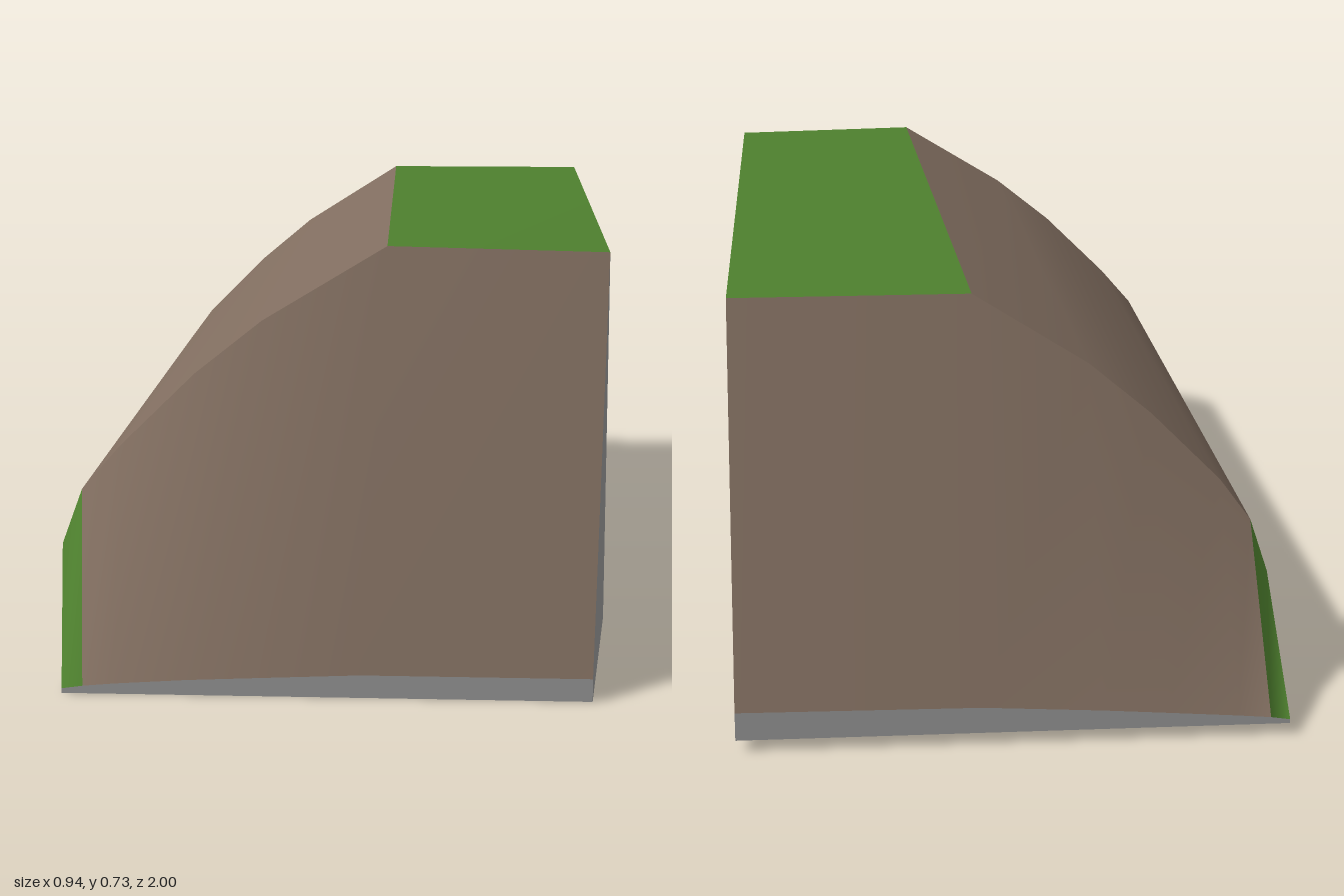
import * as THREE from 'three';

// Cross-sections run from lower left, over the top, to lower right
const section = (z, pts) => pts.map(([x, y]) => [x, y, z]);
const back = section(-1, [[-0.47, 0.02], [-0.47, 0.027], [-0.437, 0.032], [-0.38, 0.037],
  [-0.26, 0.046], [-0.15, 0.054], [0.055, 0.066], [0.47, 0.07], [0.47, 0.02]]);
const rear = section(-0.75, [[-0.473, 0.08], [-0.473, 0.2], [-0.44, 0.298], [-0.383, 0.375],
  [-0.258, 0.5], [-0.148, 0.592], [0.055, 0.72], [0.472, 0.72], [0.472, 0.08]]);
const fore = section(0.78, [[-0.473, 0.08], [-0.473, 0.2], [-0.437, 0.298], [-0.37, 0.375],
  [-0.237, 0.505], [-0.12, 0.598], [0.095, 0.728], [0.472, 0.72], [0.472, 0.08]]);
const front = section(1, [[-0.44, 0], [-0.44, 0.008], [-0.405, 0.013], [-0.35, 0.018],
  [-0.23, 0.026], [-0.12, 0.031], [0.06, 0.039], [0.445, 0.039], [0.445, 0]]);

// Smooth skin through rows of points
function loft(rows) {
  const n = rows[0].length;
  const index = [];
  for (let r = 0; r < rows.length - 1; r++) {
    for (let i = 0; i < n - 1; i++) {
      const a = r * n + i, b = a + n;
      index.push(a, b, a + 1, b, b + 1, a + 1);
    }
  }
  const geo = new THREE.BufferGeometry();
  geo.setAttribute('position', new THREE.Float32BufferAttribute(rows.flat(2), 3));
  geo.setIndex(index);
  geo.computeVertexNormals();
  return geo;
}

export function createModel() {
  const group = new THREE.Group();
  const material = (name, color) => {
    const m = new THREE.MeshStandardMaterial({ color });
    m.name = name;
    return m;
  };
  const earth = material('earth brown', 0x806d5f);
  const grass = material('grass green', 0x4e802e);
  const stone = material('plain grey', 0x999999);

  const add = (name, mat, rows) => {
    const mesh = new THREE.Mesh(loft(rows), mat);
    mesh.name = name;
    group.add(mesh);
  };
  const span = (sections, from, to) => sections.map((s) => s.slice(from, to + 1));
  const all = [back, rear, fore, front];

  // Long body
  add('curvedBank', earth, span([rear, fore], 1, 6));
  add('grassTop', grass, span([rear, fore], 6, 7));
  for (const pair of [[back, rear], [rear, fore], [fore, front]]) {
    add('grassFoot', grass, span(pair, 0, 1));
    add('sideWall', stone, span(pair, 7, 8));
  }
  add('underside', stone, all.map((s) => [s[8], s[0]]));

  // Sloping ends
  for (const [name, pair] of [['back', [back, rear]], ['front', [fore, front]]]) {
    add(name + 'GrassCorner', grass, span(pair, 1, 2));
    add(name + 'Slope', earth, span(pair, 2, 7));
  }

  // Thin upright lips at both ends
  const upper = (s) => s.slice(1, 8);
  const lower = (s) => upper(s).map(([x, , z]) => [x, s[0][1], z]);
  add('frontLip', stone, [upper(front), lower(front)]);
  add('backLip', stone, [lower(back), upper(back)]);

  return group;
}
